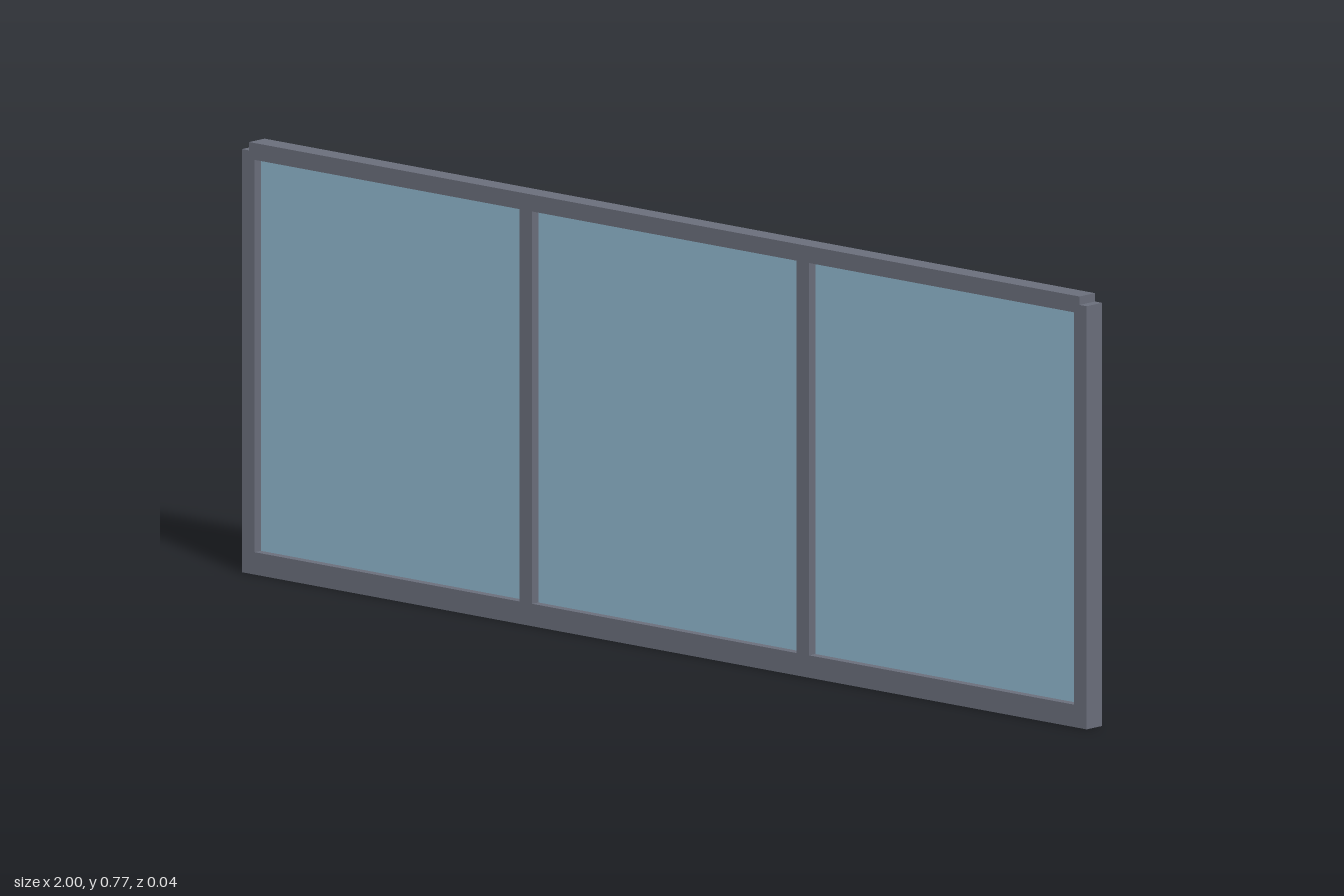
import * as THREE from 'three';

const DEPTH = 0.04;

export function createModel() {
  const group = new THREE.Group();
  const frameMat = new THREE.MeshStandardMaterial({ color: 0x6b6f7c });
  const glassMat = new THREE.MeshStandardMaterial({ color: 0x92b9d0 });

  // box given by its x and y limits, centred on z = 0
  function slab(name, x0, x1, y0, y1, depth, material) {
    const mesh = new THREE.Mesh(new THREE.BoxGeometry(x1 - x0, y1 - y0, depth), material);
    mesh.position.set((x0 + x1) / 2, (y0 + y1) / 2, 0);
    mesh.name = name;
    group.add(mesh);
  }

  // outer posts and inner mullions
  for (const [side, s] of [['left', 1], ['right', -1]]) {
    slab(side + 'Post', s * 0.985 - 0.015, s * 0.985 + 0.015, 0, 0.755, DEPTH, frameMat);
    slab(side + 'Mullion', s * 0.328 - 0.015, s * 0.328 + 0.015, 0.04, 0.74, DEPTH, frameMat);
  }

  // bottom rail
  slab('bottomRail', -0.97, 0.97, 0, 0.04, DEPTH, frameMat);

  // top rail, stepped at both ends to rest on the posts
  const profile = [[-0.97, 0.74], [0.97, 0.74], [0.97, 0.755], [0.983, 0.755],
    [0.983, 0.77], [-0.983, 0.77], [-0.983, 0.755], [-0.97, 0.755]];
  const railGeo = new THREE.ExtrudeGeometry(
    new THREE.Shape(profile.map(([x, y]) => new THREE.Vector2(x, y))),
    { depth: DEPTH, bevelEnabled: false });
  railGeo.translate(0, 0, -DEPTH / 2);
  const topRail = new THREE.Mesh(railGeo, frameMat);
  topRail.name = 'topRail';
  group.add(topRail);

  // glass panes, thin and set in the middle of the frame
  const panes = [['rightPane', -0.97, -0.343], ['centrePane', -0.313, 0.313], ['leftPane', 0.343, 0.97]];
  for (const [name, x0, x1] of panes) slab(name, x0, x1, 0.04, 0.74, 0.008, glassMat);

  return group;
}
